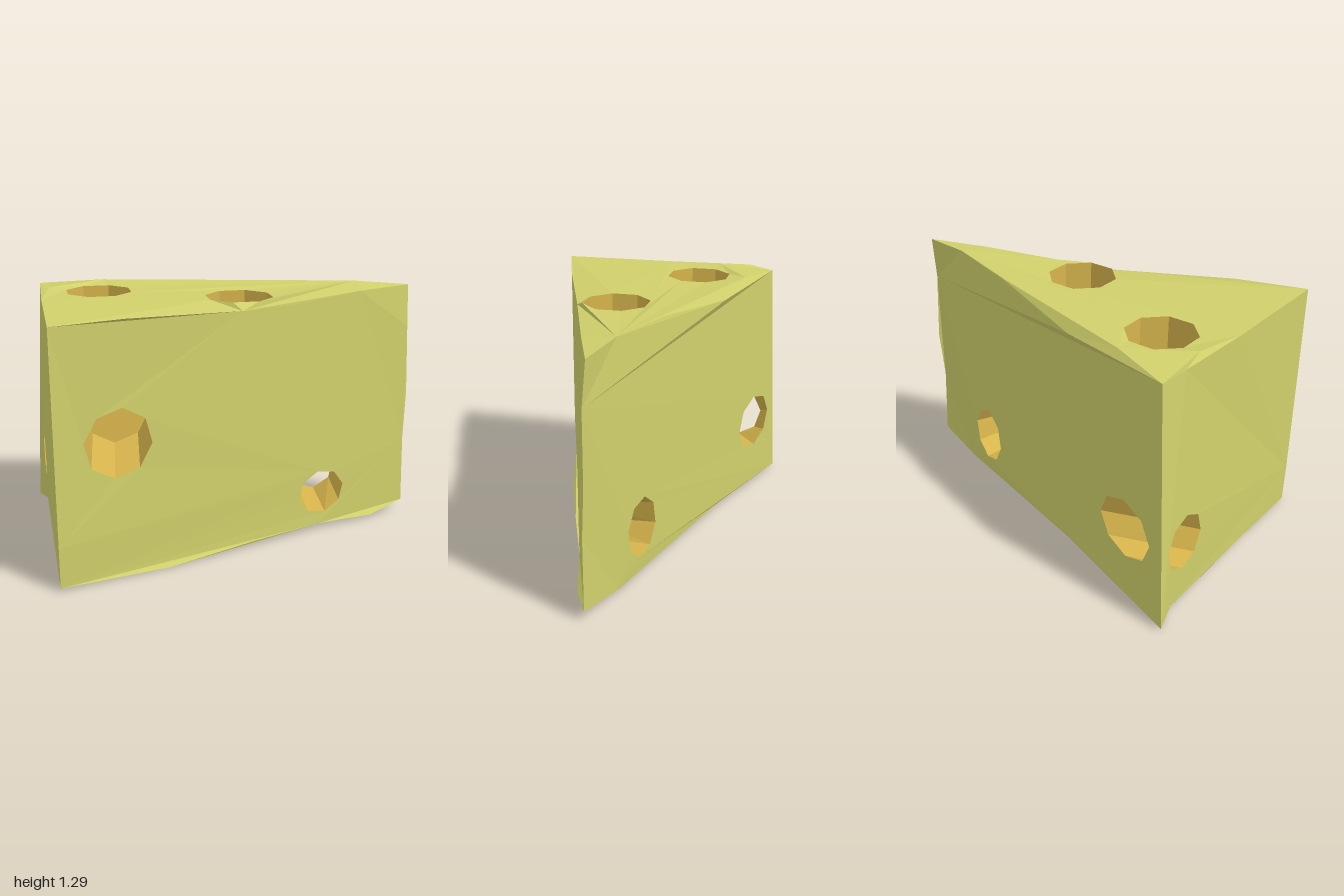
import * as THREE from 'three';

const V = (x, y, z) => new THREE.Vector3(x, y, z);
const path = (...pts) => pts.map((p) => V(...p));

// Adds one triangle, wound so that it faces along dir
function addTriangle(out, a, b, c, dir) {
  const n = b.clone().sub(a).cross(c.clone().sub(a));
  const corners = n.dot(dir) < 0 ? [a, c, b] : [a, b, c];
  corners.forEach((p) => out.push(p.x, p.y, p.z));
}

function makeMesh(name, out, color) {
  const geo = new THREE.BufferGeometry();
  geo.setAttribute('position', new THREE.Float32BufferAttribute(out, 3));
  geo.computeVertexNormals();
  const mesh = new THREE.Mesh(geo, new THREE.MeshStandardMaterial({ color, flatShading: true }));
  mesh.name = name;
  return mesh;
}

// Fills an outline with openings, triangulated in the plane across dir
function fill(name, outline, openings, dir, color) {
  const flat = (p) => dir.x ? new THREE.Vector2(p.z, p.y)
    : dir.y ? new THREE.Vector2(p.x, p.z) : new THREE.Vector2(p.x, p.y);
  const pts = [outline, ...openings].flat();
  const out = [];
  for (const [a, b, c] of THREE.ShapeUtils.triangulateShape(outline.map(flat), openings.map((h) => h.map(flat)))) {
    addTriangle(out, pts[a], pts[b], pts[c], dir);
  }
  return makeMesh(name, out, color);
}

// Eight-sided opening; place(u, v) puts it on a face
function octagon(u, v, ru, rv, phase, place) {
  return Array.from({ length: 8 }, (_, i) => {
    const a = phase + i * Math.PI / 4;
    return place(u + ru * Math.cos(a), v + rv * Math.sin(a));
  });
}

function centre(loop) {
  return loop.reduce((s, p) => s.add(p), V(0, 0, 0)).divideScalar(loop.length);
}

// Inside of a hole: walls between two loops, with an optional floor
function bore(name, from, to, closed, color) {
  const out = [];
  const middle = centre([...from, ...to]);
  const axis = centre(from).sub(centre(to));
  from.forEach((a, i) => {
    const j = (i + 1) % from.length;
    const b = from[j], c = to[j], d = to[i];
    const inward = middle.clone().sub(centre([a, b, c, d]));
    addTriangle(out, a, b, c, inward);
    addTriangle(out, a, c, d, inward);
    if (closed) addTriangle(out, centre(to), d, c, axis);
  });
  return makeMesh(name, out, color);
}

export function createModel() {
  const group = new THREE.Group();
  group.name = 'cheeseWedge';
  const rind = 0xd0d06c, inside = 0xd6b44c;

  // Wavy edges along the top, each running to the next corner
  const topFront = path([-0.95, 1.27, 0.64], [-0.6, 1.27, 0.53], [0, 1.237, 0.31], [0.3, 1.24, 0.21],
    [0.68, 1.27, 0.08], [0.985, 1.275, -0.03]);
  const topBack = path([0.985, 1.275, -0.03], [0.7, 1.295, -0.09], [0.3, 1.29, -0.22],
    [-0.28, 1.235, -0.42], [-0.6, 1.285, -0.475], [-0.91, 1.26, -0.585]);
  const topEnd = path([-0.91, 1.26, -0.585], [-0.94, 1.28, -0.45], [-0.9, 1.285, -0.28],
    [-0.95, 1.272, 0], [-0.95, 1.27, 0.64]);

  // Wavy edges along the bottom
  const lowFront = path([-0.95, 0.015, 0.635], [-0.4, 0, 0.485], [0.05, 0.025, 0.33], [0.45, 0.03, 0.185],
    [0.78, 0.015, 0.095], [0.995, 0.05, -0.005]);
  const lowBack = path([0.995, 0.05, -0.005], [0.7, 0.01, -0.09], [0.3, 0.015, -0.21],
    [-0.28, 0.04, -0.4], [-1, 0.01, -0.638]);
  const lowEnd = path([-1, 0.01, -0.638], [-0.96, 0.03, -0.5], [-0.95, 0.015, -0.2], [-0.955, 0.03, 0.2],
    [-0.95, 0.015, 0.635]);

  // Upright edges, without their end points
  const tip = path([0.985, 0.42, 0], [1, 0.68, -0.015], [0.985, 1.05, -0.01]);
  const frontCorner = path([-0.95, 0.22, 0.642]);

  // Placement on each face
  const onTop = (x, z) => V(x, 1.27, z);
  const onBase = (x, z) => V(x, 0.013, z);
  const onFront = (x, y) => V(x, y, 0.325 - 0.32 * x);
  const onBack = (x, y) => V(x, y, -0.318 + 0.315 * x);
  const onEnd = (z, y) => V(-0.963, y, z);

  // Openings
  const flatSide = Math.PI / 8;
  const topHoles = [[-0.65, -0.205], [0.03, 0.09]].map(([x, z]) => octagon(x, z, 0.175, 0.175, flatSide, onTop));
  const baseHole = octagon(-0.2, 0.08, 0.18, 0.18, flatSide, onBase);
  const frontHole = octagon(-0.645, 0.68, 0.168, 0.172, 1.43, onFront);
  const tunnelFront = octagon(0.465, 0.21, 0.135, 0.12, 1.75, onFront);
  const tunnelBack = octagon(0.5, 0.26, 0.125, 0.16, 1.75, onBack);
  const cornerBack = octagon(-0.71, 0.4, 0.18, 0.155, 1.5, onBack);
  const cornerEnd = octagon(-0.41, 0.36, 0.14, 0.15, 1.5, onEnd);

  // Five faces of the wedge
  const rev = (edge) => [...edge].reverse();
  const ring = (...edges) => edges.flat().filter((p, i, all) =>
    p.distanceTo(all[(i + 1) % all.length]) > 1e-6);
  group.add(
    fill('topFace', ring(topFront, topBack, topEnd), topHoles, V(0, 1, 0), rind),
    fill('bottomFace', ring(lowFront, lowBack, lowEnd), [baseHole], V(0, -1, 0), rind),
    fill('frontFace', ring(lowFront, tip, rev(topFront), rev(frontCorner)), [frontHole, tunnelFront], V(0, 0, 1), rind),
    fill('backFace', ring(rev(lowBack), tip, topBack), [tunnelBack, cornerBack], V(0, 0, -1), rind),
    fill('endFace', ring(lowEnd, frontCorner, rev(topEnd)), [cornerEnd], V(-1, 0, 0), rind),
  );

  // Blind holes
  const blind = (name, loop, offset) =>
    group.add(bore(name, loop, loop.map((p) => p.clone().add(offset)), true, inside));
  topHoles.forEach((loop, i) => blind('topHole' + (i + 1), loop, V(0, -0.38, 0)));
  blind('bottomHole', baseHole, V(0, 0.38, 0));
  blind('frontHole', frontHole, V(0.04, 0.05, -0.38));

  // Tunnels that pass right through
  group.add(
    bore('tipTunnel', tunnelFront, tunnelBack, false, inside),
    bore('cornerTunnel', cornerBack, cornerEnd, false, inside),
  );
  return group;
}
